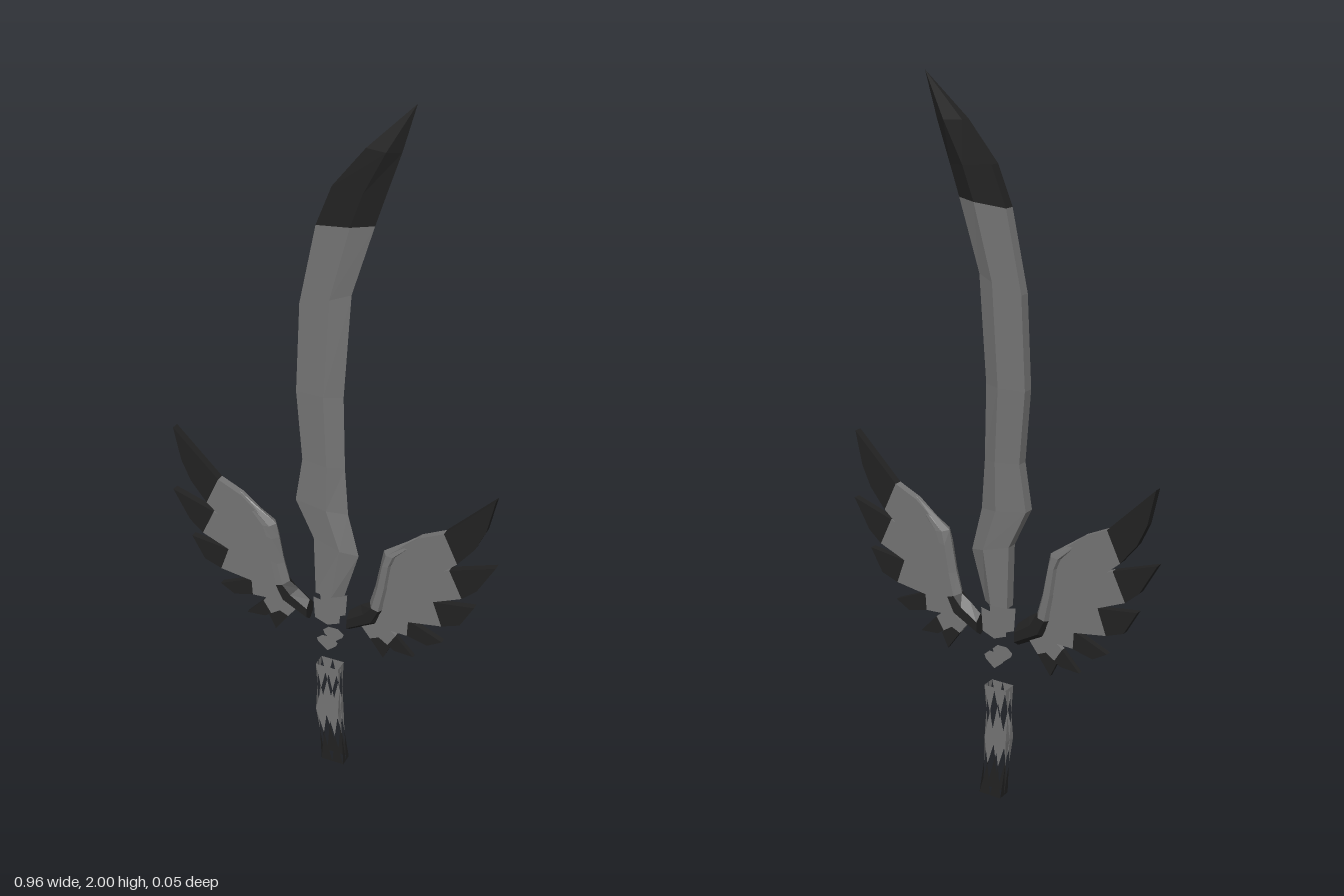
import * as THREE from 'three';

const mat = (name, color) =>
  new THREE.MeshStandardMaterial({ name, color, flatShading: true, side: THREE.DoubleSide });

// Skin a list of equal-length rings, with a fan cap at each end
function loft(rings) {
  const pos = [];
  const tri = (a, b, c) => pos.push(...a, ...b, ...c);
  const n = rings[0].length;
  for (let i = 0; i < rings.length - 1; i++) {
    for (let j = 0; j < n; j++) {
      const k = (j + 1) % n;
      const [a, b, c, d] = [rings[i][j], rings[i][k], rings[i + 1][k], rings[i + 1][j]];
      tri(a, b, c);
      tri(a, c, d);
    }
  }
  const last = rings[rings.length - 1];
  for (let j = 1; j < n - 1; j++) {
    tri(rings[0][0], rings[0][j + 1], rings[0][j]);
    tri(last[0], last[j], last[j + 1]);
  }
  return fromTriangles(pos);
}

function fromTriangles(pos) {
  const g = new THREE.BufferGeometry();
  g.setAttribute('position', new THREE.Float32BufferAttribute(pos, 3));
  g.computeVertexNormals();
  return g;
}

const outline = (pts) => new THREE.Shape(pts.map(([x, y]) => new THREE.Vector2(x, y)));

// Flat slab of half thickness h centred on z = 0
function slab(pts, h) {
  const g = new THREE.ExtrudeGeometry(outline(pts), { depth: 2 * h, bevelEnabled: false });
  return g.translate(0, 0, -h);
}

function add(parent, name, geometry, material) {
  const m = new THREE.Mesh(geometry, material);
  m.name = name;
  parent.add(m);
}

// Blade cross-section: flat spine, ridge, sharp cutting edge
function bladeRing([sx, sy, ex, ey, h]) {
  const at = (t, z) => [sx + (ex - sx) * t, sy + (ey - sy) * t, z];
  return [at(1, 0), at(0.62, -h), at(0, -h * 0.75), at(0, h * 0.75), at(0.62, h)];
}

// Wing arm cross-section: flattened hexagon
function armRing([ix, iy, ox, oy, h]) {
  const at = (t, z) => [ix + (ox - ix) * t, iy + (oy - iy) * t, z];
  return [at(1, 0), at(0.75, -h), at(0.3, -h), at(0, 0), at(0.3, h), at(0.75, h)];
}

// Spine x, y, edge x, y, half thickness
const BLADE = [
  [-0.035, 0.59, 0.045, 0.59, 0.021],
  [-0.04, 0.77, 0.087, 0.735, 0.021],
  [-0.093, 0.88, 0.055, 0.86, 0.021],
  [-0.072, 1.01, 0.045, 1.0, 0.021],
  [-0.088, 1.21, 0.04, 1.21, 0.021],
  [-0.076, 1.46, 0.06, 1.5, 0.021],
  [-0.03, 1.675, 0.12, 1.69, 0.021],
  [0.013, 1.78, 0.147, 1.77, 0.021],
  [0.1, 1.885, 0.185, 1.88, 0.02],
  [0.22, 2, 0.22, 2, 0],
];

// Inner x, y, outer x, y, half thickness
const ARM = [
  [0.061, 0.548, 0.061, 0.484, 0.021],
  [0.095, 0.577, 0.148, 0.53, 0.023],
  [0.122, 0.595, 0.167, 0.582, 0.023],
  [0.138, 0.653, 0.182, 0.665, 0.022],
  [0.153, 0.733, 0.192, 0.742, 0.022],
  [0.161, 0.775, 0.205, 0.77, 0.02],
  [0.27, 0.852, 0.262, 0.828, 0.004],
];

// Each feather: half thickness, grey root and dark tip, sharing one edge
const FEATHERS = [
  { h: 0.0115, root: [[0.373, 0.796], [0.28, 0.715], [0.17, 0.66], [0.17, 0.77], [0.265, 0.848], [0.333, 0.88]],
    tip: [[0.333, 0.88], [0.468, 1.013], [0.447, 0.915], [0.42, 0.855], [0.373, 0.796]] },
  { h: 0.0105, root: [[0.39, 0.69], [0.3, 0.652], [0.16, 0.6], [0.17, 0.7], [0.28, 0.74], [0.352, 0.77]],
    tip: [[0.352, 0.77], [0.479, 0.812], [0.43, 0.725], [0.39, 0.69]] },
  { h: 0.0095, root: [[0.336, 0.583], [0.24, 0.568], [0.15, 0.56], [0.16, 0.63], [0.31, 0.655]],
    tip: [[0.31, 0.655], [0.426, 0.67], [0.388, 0.602], [0.336, 0.583]] },
  { h: 0.0085, root: [[0.237, 0.52], [0.14, 0.525], [0.15, 0.585], [0.24, 0.573]],
    tip: [[0.24, 0.573], [0.34, 0.53], [0.297, 0.505], [0.237, 0.52]] },
  { h: 0.007, root: [[0.18, 0.47], [0.12, 0.51], [0.16, 0.545], [0.204, 0.508]],
    tip: [[0.204, 0.508], [0.257, 0.452], [0.2, 0.456], [0.18, 0.47]] },
  { h: 0.0055, root: [[0.127, 0.475], [0.1, 0.51], [0.14, 0.53], [0.165, 0.492]],
    tip: [[0.165, 0.492], [0.187, 0.462], [0.167, 0.42], [0.127, 0.475]] },
];

export function createModel() {
  const model = new THREE.Group();
  model.name = 'wingedSword';
  const grey = mat('steelGrey', 0x747474);
  const dark = mat('darkSteel', 0x222222);

  // Curved blade with a dark point
  add(model, 'blade', loft(BLADE.slice(0, 7).map(bladeRing)), grey);
  add(model, 'bladeTip', loft(BLADE.slice(6).map(bladeRing)), dark);

  // Mirrored wing guard
  for (const side of [1, -1]) {
    const wing = new THREE.Group();
    wing.name = side > 0 ? 'leftWing' : 'rightWing';
    wing.scale.x = side;
    add(wing, 'wingCuff', loft(ARM.slice(0, 3).map(armRing)), dark);
    add(wing, 'wingArm', loft(ARM.slice(2).map(armRing)), grey);
    FEATHERS.forEach(({ h, root, tip }, i) => {
      add(wing, `featherRoot${i + 1}`, slab(root, h), grey);
      add(wing, `featherTip${i + 1}`, slab(tip, h), dark);
    });
    model.add(wing);
  }

  // Floating front and back plates between the wings
  const collar = [[-0.04, 0.58], [-0.035, 0.51], [0.003, 0.495], [0.04, 0.51], [0.045, 0.58], [0, 0.57]];
  const stud = [[-0.03, 0.44], [-0.025, 0.428], [0.003, 0.405], [0.03, 0.428], [0.035, 0.44], [0.018, 0.455], [-0.012, 0.455]];
  for (const [side, turn] of [['front', 1], ['back', -1]]) {
    for (const [name, pts] of [['CollarPlate', collar], ['StudPlate', stud]]) {
      const g = new THREE.ShapeGeometry(outline(pts.map(([x, y]) => [x * turn, y])));
      if (turn < 0) g.rotateY(Math.PI);
      g.translate(0, 0, 0.021 * turn);
      add(model, side + name, g, grey);
    }
  }

  // Open lattice grip: diamonds in eight columns around a slim box
  const loop = [[-1, 1], [0, 1], [1, 1], [1, 0], [1, -1], [0, -1], [-1, -1], [-1, 0]];
  const point = (u, y) => {
    const i = Math.floor(u) % 8, f = u % 1;
    const [a, b] = [loop[i], loop[(i + 1) % 8]];
    const shift = 0.018 * Math.max(0, (0.18 - y) / 0.18);
    return [
      (a[0] + (b[0] - a[0]) * f) * 0.035 + 0.001 + shift,
      y,
      (a[1] + (b[1] - a[1]) * f) * 0.02,
    ];
  };
  const lattice = [], pommel = [];
  for (let c = 0; c < 8; c++) {
    const l = c, m = c + 0.5, r = c + 1;
    const top = point(m, 0.265), low = point(m, 0.1);
    lattice.push(...top, ...point(r, 0.345), ...point(l, 0.345));
    lattice.push(...point(l, 0.182), ...point(r, 0.182), ...top);
    lattice.push(...low, ...point(r, 0.182), ...point(l, 0.182));
    pommel.push(...point(l, 0), ...point(r, 0), ...low);
  }
  add(model, 'gripLattice', fromTriangles(lattice), grey);
  add(model, 'gripEnd', fromTriangles(pommel), dark);

  return model;
}
